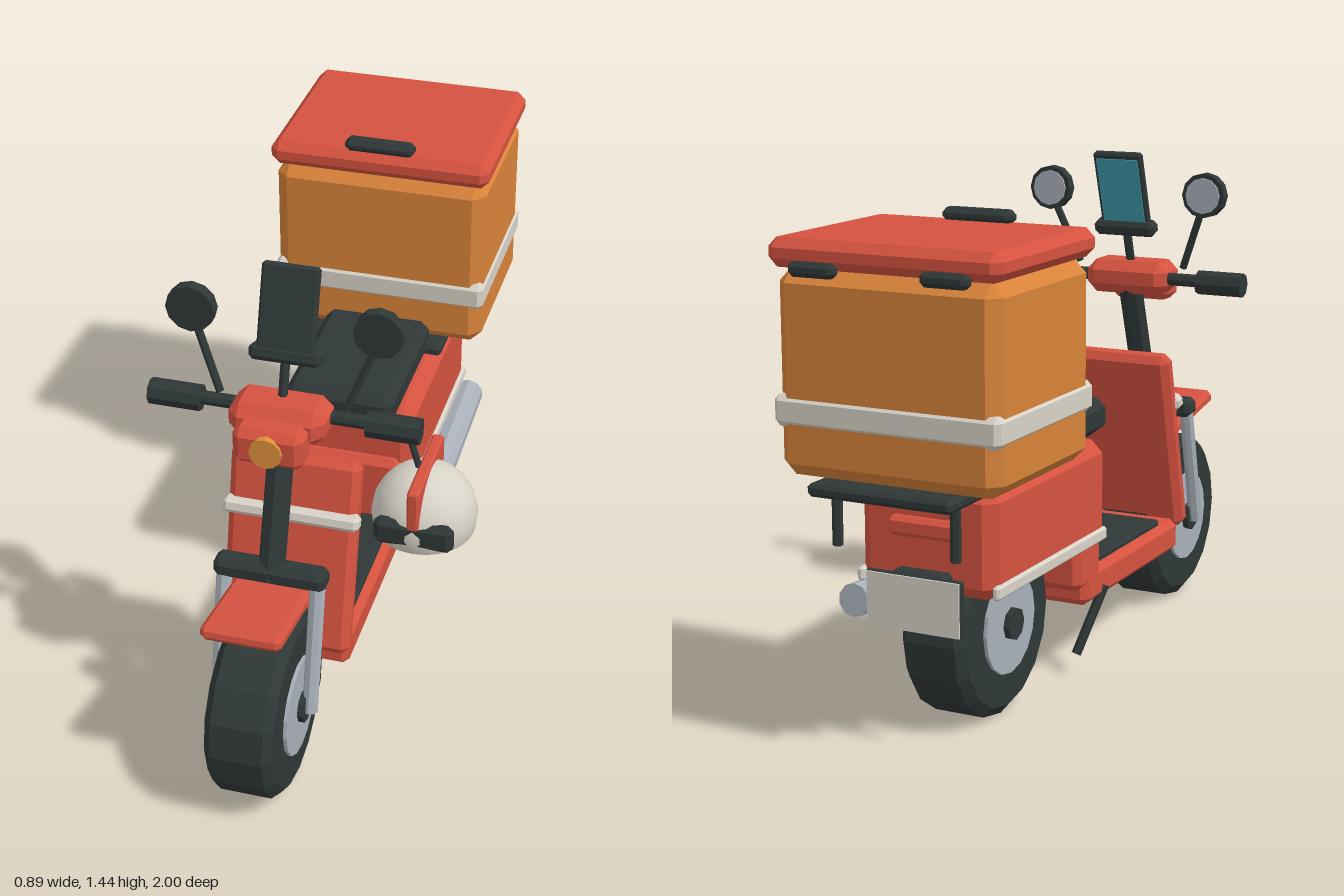
import * as THREE from 'three';
import { ConvexGeometry } from 'three/addons/geometries/ConvexGeometry.js';

const CX = -0.08; // centre line of the scooter

function mat(name, color) {
  const m = new THREE.MeshStandardMaterial({ color });
  m.name = name;
  return m;
}

// Faceted normals
function facet(geo) {
  const g = geo.index ? geo.toNonIndexed() : geo;
  g.computeVertexNormals();
  return g;
}

// Box with all edges cut at 45 degrees
function chamferBox(w, h, d, c) {
  const pts = [];
  for (const x of [-1, 1]) for (const y of [-1, 1]) for (const z of [-1, 1]) {
    const a = w / 2, b = h / 2, e = d / 2;
    pts.push(new THREE.Vector3(x * a, y * (b - c), z * (e - c)));
    pts.push(new THREE.Vector3(x * (a - c), y * b, z * (e - c)));
    pts.push(new THREE.Vector3(x * (a - c), y * (b - c), z * e));
  }
  return new ConvexGeometry(pts);
}

export function createModel() {
  const root = new THREE.Group();
  root.name = 'deliveryScooter';
  const red = mat('red paint', 0xd5523f);
  const orange = mat('orange box', 0xd8833a);
  const dark = mat('dark rubber', 0x2f3737);
  const cream = mat('cream', 0xd8d3c8);
  const metal = mat('metal', 0xa9b0b9);
  const teal = mat('screen', 0x3f9fb0);
  const amber = mat('amber lamp', 0xdd9038);

  const add = (name, geo, material, x = 0, y = 0, z = 0, rx = 0) => {
    const m = new THREE.Mesh(geo, material);
    m.name = name;
    m.position.set(x, y, z);
    m.rotation.x = rx;
    root.add(m);
    return m;
  };
  // Chamfered box from its ranges in x, y and z
  const block = (name, material, [x0, x1], [y0, y1], [z0, z1], c = 0.015) =>
    add(name, chamferBox(x1 - x0, y1 - y0, z1 - z0, c), material, (x0 + x1) / 2, (y0 + y1) / 2, (z0 + z1) / 2);
  const mid = (half) => [CX - half, CX + half];
  // Straight rod between two points
  const rod = (name, material, a, b, r, sides = 8) => {
    const p = new THREE.Vector3(...a), q = new THREE.Vector3(...b);
    const m = add(name, facet(new THREE.CylinderGeometry(r, r, p.distanceTo(q), sides)), material);
    m.position.copy(p).lerp(q, 0.5);
    m.quaternion.setFromUnitVectors(new THREE.Vector3(0, 1, 0), q.sub(p).normalize());
    return m;
  };

  // Wheels: chamfered tyre, rim disc and hub
  const tyre = facet(new THREE.LatheGeometry([
    [0.05, -0.095], [0.232, -0.095], [0.26, -0.072], [0.26, 0.072], [0.232, 0.095], [0.05, 0.095],
  ].map(([r, y]) => new THREE.Vector2(r, y)), 16).rotateZ(Math.PI / 2));
  for (const [end, z] of [['front', 0.74], ['rear', -0.485]]) {
    add(end + 'Tyre', tyre, dark, CX, 0.26, z);
    rod(end + 'Rim', metal, [CX - 0.105, 0.26, z], [CX + 0.105, 0.26, z], 0.14, 16);
    rod(end + 'Hub', dark, [CX - 0.122, 0.26, z], [CX + 0.122, 0.26, z], 0.045, 8);
  }

  // Front fork, yoke, steering column and mudguard
  for (const s of [-1, 1])
    rod('forkLeg', metal, [CX + s * 0.13, 0.25, 0.745], [CX + s * 0.13, 0.64, 0.65], 0.022);
  block('forkYoke', dark, mid(0.155), [0.605, 0.662], [0.615, 0.685]);
  rod('steeringColumn', dark, [CX, 0.61, 0.655], [CX, 1.04, 0.505], 0.037);
  add('frontMudguard', chamferBox(0.22, 0.045, 0.335, 0.014), red, CX, 0.585, 0.76, -0.18);

  // Leg shield and its trim
  add('legShield', chamferBox(0.365, 0.57, 0.065, 0.02), red, CX, 0.568, 0.462, -0.25);
  add('shieldTrim', chamferBox(0.385, 0.045, 0.05, 0.012), cream, CX, 0.69, 0.462, -0.25);

  // Floor, mat and rear body
  block('floor', red, mid(0.17), [0.215, 0.315], [-0.15, 0.51], 0.02);
  block('floorMat', dark, mid(0.148), [0.305, 0.332], [-0.07, 0.41], 0.006);
  block('bodyNeck', red, mid(0.17), [0.27, 0.53], [-0.2, -0.05], 0.02);
  block('rearBody', red, mid(0.2), [0.4, 0.695], [-0.76, -0.08], 0.035);
  for (const s of [-1, 1]) {
    const x = CX + s * 0.2;
    block('bodyTrim', cream, [x - 0.01, x + 0.01], [0.41, 0.447], [-0.755, -0.1], 0.006);
  }

  // Seat with an undercut nose
  const seatGeo = chamferBox(0.32, 0.1, 0.48, 0.025);
  const p = seatGeo.attributes.position;
  for (let i = 0; i < p.count; i++)
    if (p.getY(i) < -0.04 && p.getZ(i) > 0) p.setZ(i, p.getZ(i) - 0.06);
  add('seat', facet(seatGeo), dark, CX, 0.74, -0.225);

  // Rear rack, tail lamp and number plate
  block('rack', dark, mid(0.205), [0.693, 0.727], [-0.995, -0.4], 0.01);
  for (const s of [-1, 1])
    rod('rackLeg', dark, [CX + s * 0.17, 0.55, -0.905], [CX + s * 0.17, 0.71, -0.905], 0.014, 6);
  block('tailLamp', red, mid(0.1), [0.555, 0.608], [-0.785, -0.74], 0.012);
  block('plateBracket', dark, mid(0.08), [0.35, 0.47], [-0.81, -0.74], 0.01);
  block('plateFrame', dark, mid(0.14), [0.318, 0.47], [-0.824, -0.806], 0.004);
  add('plate', new THREE.BoxGeometry(0.27, 0.145, 0.006), cream, CX, 0.394, -0.826);

  // Exhaust and side stand
  rod('exhaust', metal, [0.143, 0.305, -0.15], [0.143, 0.352, -0.75], 0.046, 10);
  rod('sideStand', dark, [-0.25, 0.25, -0.03], [-0.2, 0.06, -0.11], 0.014, 6);

  // Cargo box with band, lid, handle and hinges
  block('cargoBox', orange, mid(0.315), [0.727, 1.255], [-0.955, -0.435], 0.035);
  block('cargoBand', cream, mid(0.321), [0.855, 0.937], [-0.962, -0.428], 0.015);
  block('cargoLid', red, mid(0.327), [1.258, 1.333], [-0.972, -0.422], 0.024);
  block('lidHandle', dark, mid(0.103), [1.328, 1.366], [-0.482, -0.43], 0.014);
  for (const s of [-1, 1])
    block('lidHinge', dark, [CX + s * 0.185 - 0.065, CX + s * 0.185 + 0.065], [1.242, 1.28], [-0.993, -0.95], 0.012);

  // Handlebar, grips and mirrors
  rod('handlebar', dark, [CX - 0.3, 1.055, 0.505], [CX + 0.3, 1.055, 0.505], 0.019);
  for (const s of [-1, 1]) {
    const x = (d) => CX + s * d;
    rod('grip', dark, [x(0.225), 1.052, 0.505], [x(0.367), 1.052, 0.505], 0.036);
    rod('mirrorStalk', dark, [x(0.17), 1.09, 0.515], [x(0.24), 1.27, 0.482], 0.011, 6);
    rod('mirror', dark, [x(0.25), 1.315, 0.465], [x(0.25), 1.315, 0.498], 0.066, 12);
    rod('mirrorGlass', metal, [x(0.25), 1.315, 0.459], [x(0.25), 1.315, 0.467], 0.053, 12);
  }

  // Headlamp housing
  block('handlebarCover', red, mid(0.13), [1.005, 1.105], [0.455, 0.6], 0.03);
  block('headlampHousing', red, mid(0.095), [0.975, 1.08], [0.57, 0.665], 0.02);
  rod('headlamp', amber, [CX, 1.027, 0.65], [CX, 1.027, 0.675], 0.044, 12);

  // Phone on its holder, leaning back
  rod('phoneStem', dark, [CX, 1.09, 0.515], [CX, 1.2, 0.48], 0.013, 6);
  add('phoneHolder', chamferBox(0.195, 0.045, 0.05, 0.012), dark, CX, 1.208, 0.475, -0.32);
  add('phone', chamferBox(0.155, 0.26, 0.025, 0.007), dark, CX, 1.314, 0.449, -0.32);
  add('phoneScreen', new THREE.BoxGeometry(0.133, 0.225, 0.006), teal, CX, 1.314 - 0.0041, 0.449 - 0.0123, -0.32);

  // Helmet hanging from the left grip: cut sphere, base, crest, visor, strap
  const cut = Math.acos(-0.045 / 0.14);
  add('helmet', new THREE.SphereGeometry(0.14, 24, 14, 0, Math.PI * 2, 0, cut), cream, 0.3, 0.8, 0.5);
  add('helmetBase', new THREE.CircleGeometry(0.14 * Math.sin(cut), 24).rotateX(Math.PI / 2), cream, 0.3, 0.755, 0.5);
  block('helmetCrest', red, [0.284, 0.316], [0.83, 0.95], [0.355, 0.64], 0.006);
  block('helmetVisor', dark, [0.193, 0.405], [0.768, 0.848], [0.595, 0.637], 0.016);
  rod('helmetStrap', dark, [0.253, 1.04, 0.5], [0.288, 0.92, 0.5], 0.009, 6);

  return root;
}
